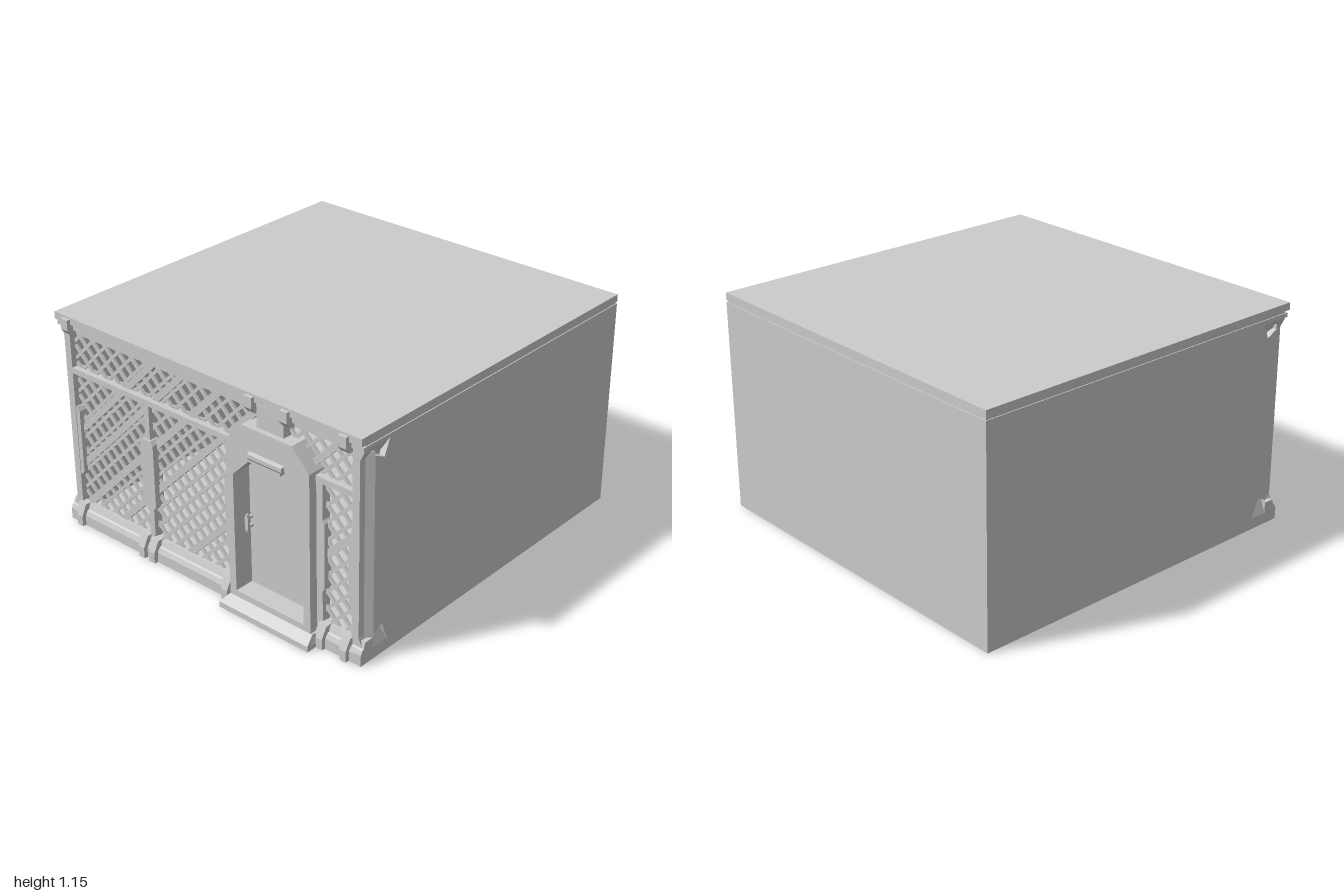
import * as THREE from 'three';
import { mergeGeometries } from 'three/addons/utils/BufferGeometryUtils.js';

const material = new THREE.MeshStandardMaterial({ color: 0xcccccc, flatShading: true });

const toShape = pts => new THREE.Shape(pts.map(p => new THREE.Vector2(p[0], p[1])));
const extrude = (shape, depth) => new THREE.ExtrudeGeometry(shape, { depth, bevelEnabled: false });

// box given by its limits
function box(x0, x1, y0, y1, z0, z1) {
  return new THREE.BoxGeometry(x1 - x0, y1 - y0, z1 - z0)
    .translate((x0 + x1) / 2, (y0 + y1) / 2, (z0 + z1) / 2);
}
// outline in (x, y), extruded along z
const front = (pts, z0, z1) => extrude(toShape(pts), z1 - z0).translate(0, 0, z0);
// outline in (z, y), extruded along x
const side = (pts, x0, x1) => extrude(toShape(pts), x1 - x0).rotateY(-Math.PI / 2).translate(x1, 0, 0);
// outline in (x, z), extruded along y
const plan = (pts, y0, y1) => extrude(toShape(pts), y1 - y0).rotateX(Math.PI / 2).translate(0, y1, 0);

// rectangle with chamfered corners
function octagon(x0, x1, y0, y1, cx, cy) {
  return [[x0, y0 + cy], [x0 + cx, y0], [x1 - cx, y0], [x1, y0 + cy],
    [x1, y1 - cy], [x1 - cx, y1], [x0 + cx, y1], [x0, y1 - cy]];
}

// narrows the foremost part of a clip about its centre
function narrowFront(geo, x, zLimit, k) {
  const p = geo.attributes.position;
  for (let i = 0; i < p.count; i++) {
    if (p.getZ(i) > zLimit) p.setX(i, x + (p.getX(i) - x) * k);
  }
  geo.computeVertexNormals();
  return geo;
}

// 45 degree bar along y = s * x + c, clipped to a rectangle
function diagonalBar(s, c, [x0, x1, y0, y1], width, z0, z1) {
  const atY = [(y0 - c) / s, (y1 - c) / s].sort((a, b) => a - b);
  const a = Math.max(x0, atY[0]), b = Math.min(x1, atY[1]);
  if (b - a < 0.012) return null;
  const mid = (a + b) / 2;
  return new THREE.BoxGeometry((b - a) * Math.SQRT2, width, z1 - z0)
    .rotateZ(s * Math.PI / 4)
    .translate(mid, s * mid + c, (z0 + z1) / 2);
}

export function createModel() {
  const group = new THREE.Group();
  const add = (name, ...geos) => {
    const flat = geos.map(g => (g.index ? g.toNonIndexed() : g));
    const mesh = new THREE.Mesh(mergeGeometries(flat), material);
    mesh.name = name;
    group.add(mesh);
  };

  // hollow shell
  add('floor', box(-0.93, 0.93, 0, 0.06, -0.96, 0.9));
  add('backWall', box(-0.93, 0.93, 0, 1.105, -1, -0.95));
  add('roof', box(-0.96, 0.96, 1.117, 1.155, -1, 0.93));
  add('roofGroove', box(-0.955, 0.955, 1.1, 1.12, -0.995, 0.9));

  // side walls with a notched front edge, and the corner pillars
  const notched = [[-1, 0], [0.925, 0], [0.925, 0.06], [0.745, 0.06], [0.78, 0.16], [0.84, 0.13],
    [0.84, 1.04], [0.78, 1.01], [0.745, 1.09], [0.915, 1.09], [0.915, 1.107], [-1, 1.107]];
  for (const s of [1, -1]) {
    const label = s > 0 ? 'left' : 'right';
    const span = (a, b) => (s > 0 ? [a, b] : [-b, -a]);
    add(label + 'Wall',
      side(notched, ...span(0.93, 0.96)),
      box(...span(0.89, 0.93), 0, 1.105, -0.99, 0.84));
    add(label + 'Pillar',
      box(...span(0.89, 0.93), 0, 1.105, 0.84, 0.905),
      plan([[s * 0.93, 0.87], [s * 0.96, 0.84], [s * 0.93, 0.84]], 0.1, 1.06));
    add(label + 'PillarCaps',
      front([[s * 0.93, 0.06], [s * 0.96, 0.06], [s * 0.93, 0.13]], 0.75, 0.905),
      front([[s * 0.93, 1.09], [s * 0.96, 1.09], [s * 0.93, 1.03]], 0.75, 0.905));
  }

  // sloped base moulding on both sides of the door
  const basePts = [[0.84, 0], [0.925, 0], [0.925, 0.055], [0.915, 0.08], [0.905, 0.085], [0.895, 0.115], [0.84, 0.115]];
  add('baseMoulding', side(basePts, -0.96, 0.18), side(basePts, 0.69, 0.96));

  // clips on the base and under the roof edge
  const baseClip = [[0.88, 0], [0.945, 0], [0.945, 0.055], [0.922, 0.12], [0.88, 0.12]];
  add('baseClips', ...[-0.875, -0.425, -0.353, 0.137, 0.73, 0.87].map(x =>
    narrowFront(side(baseClip, x - 0.026, x + 0.026), x, 0.93, 0.7)));
  const roofClip = [[0.88, 1.06], [0.925, 1.06], [0.95, 1.09], [0.95, 1.145], [0.88, 1.145]];
  add('roofClips', ...[-0.872, 0.327, 0.535, 0.867].map(x =>
    side(roofClip, x - 0.023, x + 0.023)));

  // window frame rails and mullions
  add('topRail',
    box(-0.9, 0.9, 1.06, 1.085, 0.85, 0.9),
    box(-0.96, 0.96, 1.085, 1.107, 0.85, 0.915));
  add('middleRail', box(-0.89, 0.2, 0.838, 0.868, 0.85, 0.905), box(0.66, 0.89, 0.838, 0.868, 0.85, 0.905));
  add('mullions',
    box(-0.4, -0.368, 0.1, 0.845, 0.85, 0.9),
    box(0.15, 0.185, 0.1, 0.86, 0.85, 0.9),
    box(0.675, 0.715, 0.1, 0.86, 0.85, 0.9));
  add('mullionPlates', ...[[-0.427, -0.342], [-0.915, -0.865], [0.122, 0.17], [0.69, 0.728], [0.868, 0.9]]
    .map(([a, b]) => front(octagon(a, b, 0.275, 0.655, 0.018, 0.02), 0.855, a < -0.4 && b > -0.4 ? 0.91 : 0.902)));

  // crossed lattice with wider diagonal braces
  const panels = [[-0.89, -0.385, 0.1, 0.85], [-0.385, 0.17, 0.1, 0.85], [0.7, 0.89, 0.1, 0.85], [-0.89, 0.89, 0.85, 1.07]];
  const bars = [], braces = [];
  for (const panel of panels) {
    for (let c = -0.9; c < 2.1; c += 0.09) {
      bars.push(diagonalBar(1, c, panel, 0.017, 0.865, 0.877));
      bars.push(diagonalBar(-1, c, panel, 0.017, 0.865, 0.877));
    }
    for (const c of [1.4, 1.21, 0.97, 0.73, 0.26, -0.25]) {
      braces.push(diagonalBar(1, c, panel, 0.034, 0.855, 0.882));
    }
  }
  add('lattice', ...bars.filter(Boolean));
  add('latticeBraces', ...braces.filter(Boolean));

  // door surround with a chamfered opening
  const surround = toShape([[0.18, 0], [0.68, 0], [0.68, 0.885], [0.58, 0.99], [0.28, 0.99], [0.18, 0.885]]);
  surround.holes.push(toShape([[0.22, 0.09], [0.22, 0.715], [0.318, 0.815], [0.542, 0.815], [0.64, 0.715], [0.64, 0.09]]));
  add('doorSurround', extrude(surround, 0.12).translate(0, 0, 0.825));
  add('door', box(0.21, 0.65, 0.08, 0.83, 0.82, 0.84));
  add('doorHead', box(0.35, 0.51, 0.98, 1.107, 0.85, 0.918));
  add('doorHandle',
    front(octagon(0.222, 0.242, 0.385, 0.475, 0.006, 0.018), 0.865, 0.88),
    box(0.226, 0.238, 0.4, 0.412, 0.835, 0.87),
    box(0.226, 0.238, 0.448, 0.46, 0.835, 0.87));

  // hooded lamp over the door
  add('doorLamp',
    side([[0.94, 0.83], [0.955, 0.835], [0.965, 0.848], [0.965, 0.868], [0.94, 0.875]], 0.33, 0.535),
    box(0.345, 0.52, 0.82, 0.835, 0.94, 0.955));

  // door step with sloping edges
  const step = side([[0.84, 0], [1, 0], [1, 0.03], [0.945, 0.058], [0.84, 0.058]], 0.16, 0.71);
  const p = step.attributes.position;
  for (let i = 0; i < p.count; i++) {
    if (p.getY(i) > 0.04) p.setX(i, 0.435 + (p.getX(i) - 0.435) * 0.93);
  }
  step.computeVertexNormals();
  add('doorStep', step);

  return group;
}
